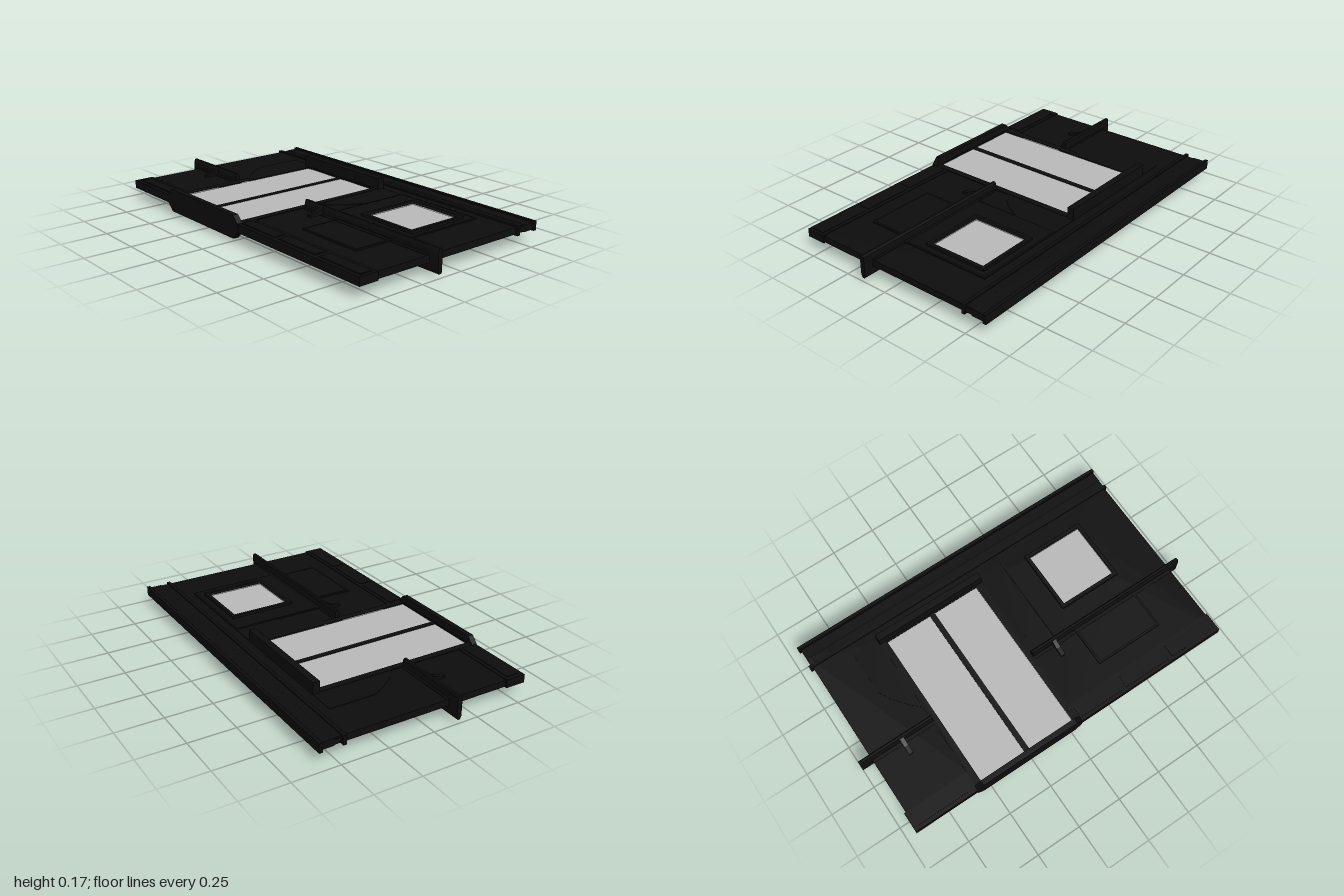
import * as THREE from 'three';

const MID = 0.083; // height of the wall's centre plane

export function createModel() {
  const model = new THREE.Group();
  const black = new THREE.MeshStandardMaterial({ name: 'blackPaint', color: 0x0d0d0d });
  const grey = new THREE.MeshStandardMaterial({ name: 'greyGlass', color: 0xb8b8b8 });

  const add = (name, geometry, material = black) => {
    const mesh = new THREE.Mesh(geometry, material);
    mesh.name = name;
    model.add(mesh);
    return mesh;
  };
  const rect = (x0, x1, z0, z1) => [[x0, z0], [x1, z0], [x1, z1], [x0, z1]];
  const toPoints = (pts, flip) => pts.map(([a, b]) => new THREE.Vector2(a, flip ? -b : b));

  // flat plate drawn in x, z, reaching `half` above and below the centre plane
  const plate = (name, outline, half, holes = [], material = black) => {
    const shape = new THREE.Shape(toPoints(outline, true));
    holes.forEach((h) => shape.holes.push(new THREE.Path(toPoints(h, true))));
    const geo = new THREE.ExtrudeGeometry(shape, { depth: half * 2, bevelEnabled: false });
    geo.rotateX(-Math.PI / 2).translate(0, MID - half, 0);
    return add(name, geo, material);
  };
  // rectangular moulding of border width w
  const frame = (name, x0, x1, z0, z1, w, half) =>
    plate(name, rect(x0, x1, z0, z1), half, [rect(x0 + w, x1 - w, z0 + w, z1 - w)]);
  // profile in z and height offset, mirrored above and below, run along x
  const run = (name, x0, x1, profile) => {
    const lower = [...profile].reverse().map(([z, h]) => [z, -h]);
    const shape = new THREE.Shape(toPoints([...profile, ...lower], true).map((p) => new THREE.Vector2(-p.x, -p.y)));
    const geo = new THREE.ExtrudeGeometry(shape, { depth: x1 - x0, bevelEnabled: false });
    geo.rotateY(Math.PI / 2).translate(x0, MID, 0);
    return add(name, geo);
  };

  const doorHole = rect(-0.54, 0.02, -0.345, 0.55);
  const windowHole = rect(0.355, 0.675, -0.325, 0);

  // wall
  plate('wall', rect(-0.935, 0.945, -0.52, 0.575), 0.018, [doorHole, windowHole]);

  // door frame, centre post and panes
  plate('doorFrame', rect(-0.575, 0.055, -0.37, 0.575), 0.023, [doorHole]);
  plate('doorPost', rect(-0.275, -0.245, -0.345, 0.55), 0.018);
  [[-0.54, -0.275], [-0.245, 0.02]].forEach(([a, b]) =>
    plate('doorPane', rect(a, b, -0.345, 0.55), 0.015, [], grey));

  // window frame and pane
  frame('windowFrame', 0.335, 0.695, -0.345, 0.02, 0.02, 0.032);
  plate('windowPane', windowHole, 0.015, [], grey);

  // header above the door
  run('doorHeader', -0.58, 0.06, [[-0.39, 0.083], [-0.352, 0.083]]);

  // door sill with cut corners
  const sill = new THREE.Shape(toPoints([
    [-0.58, -0.025], [-0.545, -0.061], [0.025, -0.061], [0.06, -0.025],
    [0.06, 0.025], [0.025, 0.061], [-0.545, 0.061], [-0.58, 0.025]]));
  add('doorSill', new THREE.ExtrudeGeometry(sill, { depth: 0.03, bevelEnabled: false }).translate(0, MID, 0.553));

  // ledge and its brackets, on either side of the door
  const ledge = [[0.128, 0.055], [0.134, 0.062], [0.146, 0.062], [0.153, 0.045], [0.153, 0.02]];
  [[-1, -0.57], [0.05, 1]].forEach(([a, b]) => run('ledge', a, b, ledge));
  run('ledgeTrimLeft', 0.05, 0.945, [[0.115, 0.021], [0.17, 0.021]]);
  run('ledgeTrimRight', -0.935, -0.57, [[0.115, 0.021], [0.17, 0.021]]);
  [-0.755, 0.185].forEach((x) => run('ledgeBracket', x - 0.012, x + 0.012,
    [[0.15, 0.058], [0.17, 0.045], [0.19, 0.036], [0.235, 0.03], [0.235, 0.01]]));

  // shaped plates beside the door, mirrored about its centre
  [-1, 1].forEach((s) => {
    const outline = [[0.315, -0.39], [0.465, -0.39], [0.465, -0.14], [0.43, -0.07], [0.36, 0.02], [0.315, 0.06]];
    plate('doorSidePlate', outline.map(([x, z]) => [-0.26 + s * x, z]), 0.021);
  });

  // raised wall mouldings around and below the window
  frame('windowSurround', 0.205, 0.74, -0.39, 0.12, 0.012, 0.024);
  frame('lowerPanel', 0.315, 0.705, 0.15, 0.38, 0.012, 0.026);

  // skirting with raised panels
  [[-0.945, -0.575], [0.055, 0.952]].forEach(([a, b]) =>
    plate('skirting', rect(a, b, 0.47, 0.58), 0.022));
  [[-0.92, -0.59], [0.065, 0.33], [0.355, 0.63], [0.655, 0.935]].forEach(([a, b]) =>
    frame('skirtingPanel', a, b, 0.49, 0.56, 0.01, 0.025));

  // cornice at the top of the wall
  run('corniceBead', -0.952, 0.957, [[-0.46, 0.025], [-0.442, 0.025]]);
  run('corniceBand', -0.94, 0.95, [[-0.56, 0.019], [-0.50, 0.019], [-0.495, 0.014], [-0.455, 0.014]]);
  run('corniceCap', -0.952, 0.957, [[-0.583, 0.025], [-0.565, 0.025]]);

  return model;
}
